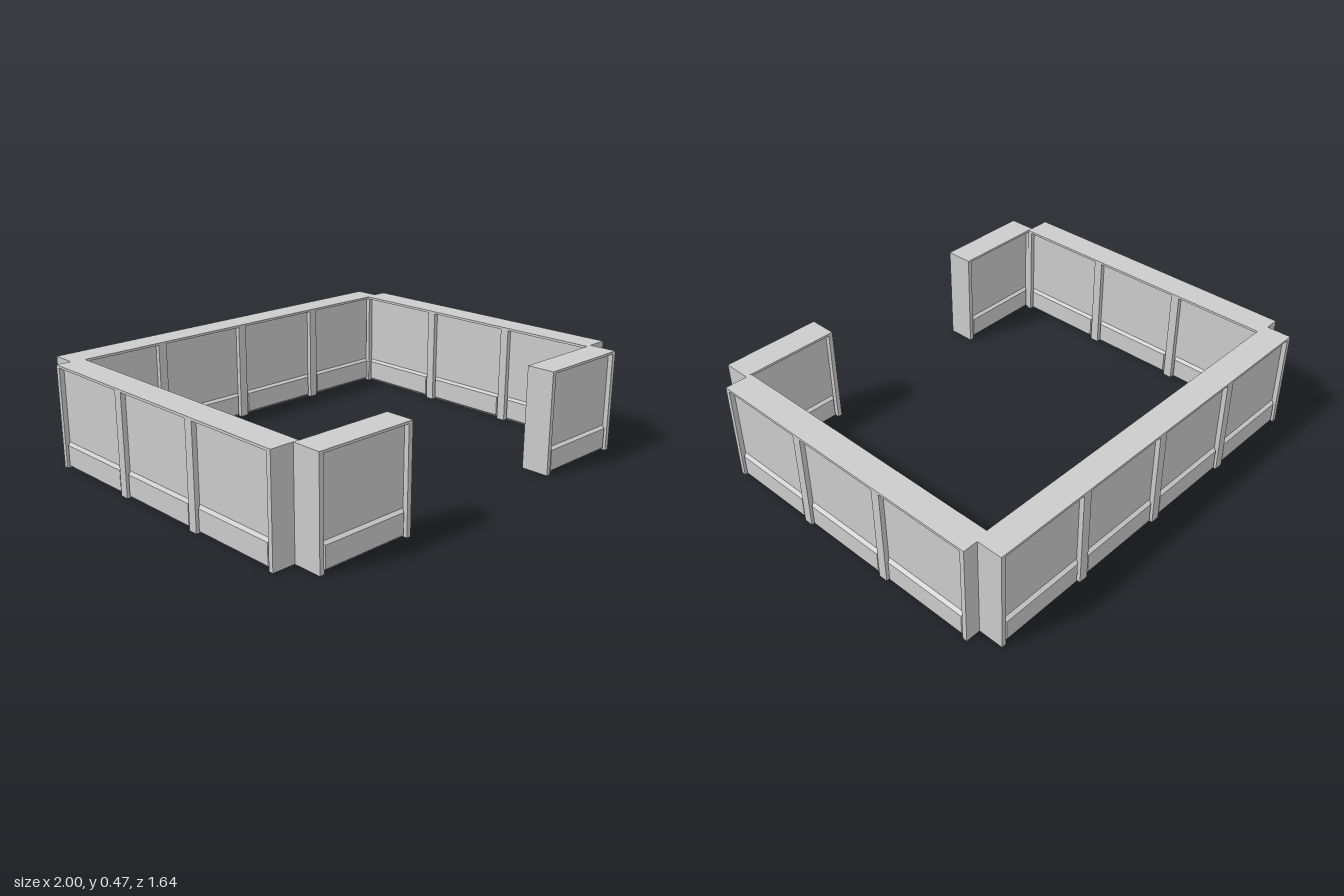
import * as THREE from 'three';

const H = 0.466, DEPTH = 0.13, MODULE = 0.466;
const POST = 0.021, CAP = 0.011, RECESS = 0.022;
const KICK_H = 0.113, KICK_OUT = 0.016, BEVEL = 0.01;
const PANEL = MODULE - 2 * POST;
const material = new THREE.MeshStandardMaterial({ color: 0xcccccc });

function add(parent, name, geometry, x, y, z) {
  const mesh = new THREE.Mesh(geometry, material);
  mesh.name = name;
  mesh.position.set(x, y, z);
  parent.add(mesh);
  return mesh;
}

// Raised kick plate: a box whose outer (+z) face is drawn in to bevel its edges
function kickGeometry() {
  const w = PANEL - 0.004;
  const g = new THREE.BoxGeometry(w, KICK_H, KICK_OUT);
  const p = g.attributes.position;
  for (let i = 0; i < p.count; i++) {
    if (p.getZ(i) > 0) {
      p.setX(i, p.getX(i) - Math.sign(p.getX(i)) * BEVEL);
      p.setY(i, p.getY(i) - Math.sign(p.getY(i)) * BEVEL);
    }
  }
  g.computeVertexNormals();
  return g;
}

// Straight run of counter modules along local x
function createWall(name, modules) {
  const wall = new THREE.Group();
  wall.name = name;
  const length = modules * MODULE;
  const bodyH = H - CAP;
  const face = DEPTH / 2 - RECESS;
  add(wall, 'cap', new THREE.BoxGeometry(length, CAP, DEPTH), 0, H - CAP / 2, 0);

  // Posts: narrow at the ends, double width between modules
  for (let i = 0; i <= modules; i++) {
    const end = i === 0 ? 1 : i === modules ? -1 : 0;
    const w = end ? POST : 2 * POST;
    add(wall, 'post', new THREE.BoxGeometry(w, bodyH, DEPTH),
      -length / 2 + i * MODULE + end * POST / 2, bodyH / 2, 0);
  }

  // Recessed panels with a kick plate on both faces
  const kick = kickGeometry();
  for (let i = 0; i < modules; i++) {
    const x = -length / 2 + (i + 0.5) * MODULE;
    add(wall, 'panel', new THREE.BoxGeometry(PANEL, bodyH, 2 * face), x, bodyH / 2, 0);
    for (const s of [1, -1]) {
      const plate = add(wall, 'kickPlate', kick, x, 0.004 + KICK_H / 2, s * (face + KICK_OUT / 2));
      if (s < 0) plate.rotation.y = Math.PI;
    }
  }
  return wall;
}

export function createModel() {
  const model = new THREE.Group();
  model.name = 'counterEnclosure';

  const back = createWall('backWall', 4);
  back.position.z = -0.76;
  model.add(back);

  // Side walls and short front returns, leaving the entrance open
  for (const [side, s] of [['left', 1], ['right', -1]]) {
    const wall = createWall(side + 'Wall', 3);
    wall.rotation.y = s * Math.PI / 2;
    wall.position.set(s * 0.935, 0, -0.01);
    model.add(wall);

    const front = createWall(side + 'FrontReturn', 1);
    front.position.set(s * 0.664, 0, 0.755);
    model.add(front);
  }
  return model;
}
